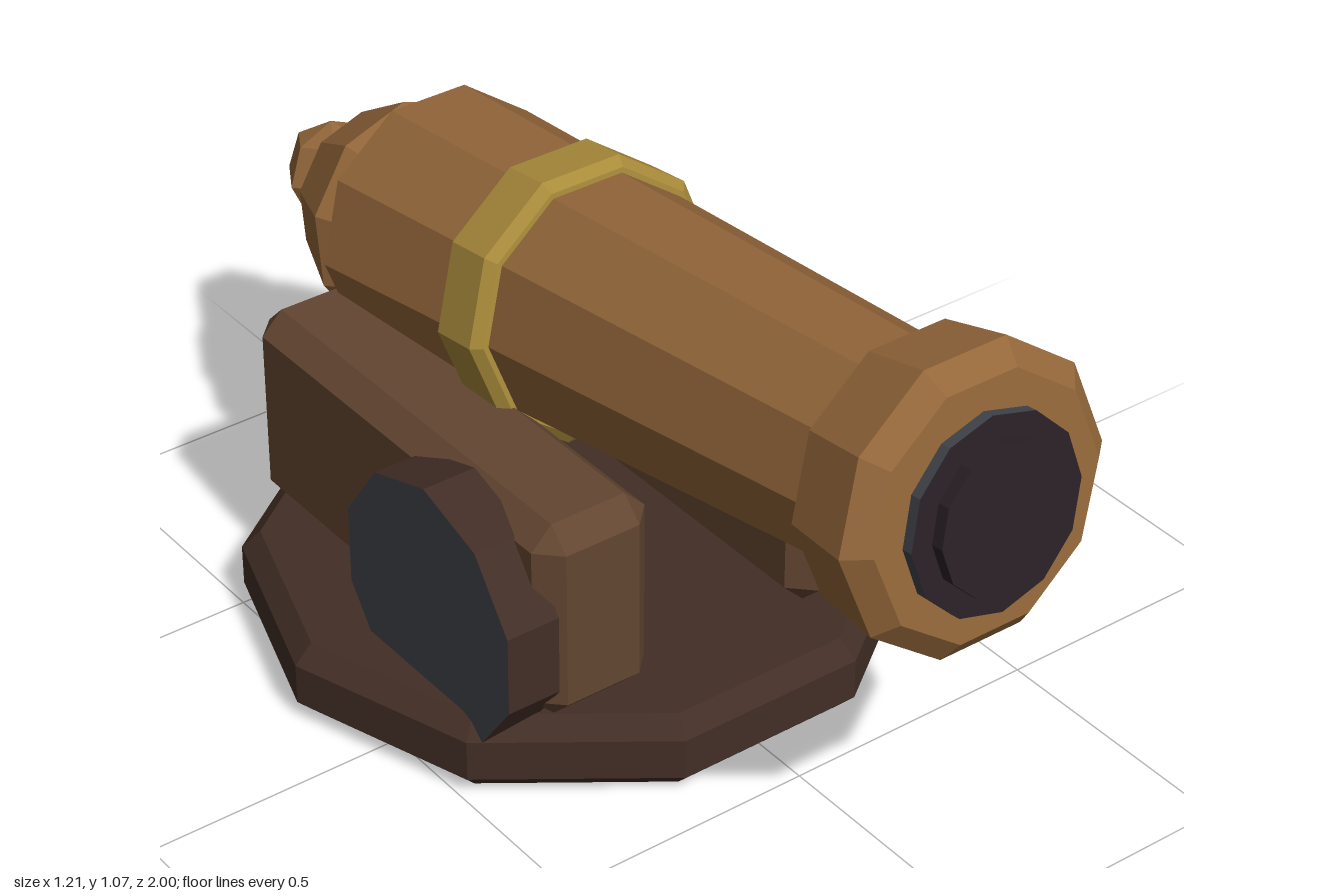
import * as THREE from 'three';
import { ConvexGeometry } from 'three/addons/geometries/ConvexGeometry.js';

const mat = (color) => new THREE.MeshStandardMaterial({ color, flatShading: true });
const bronze = mat(0x94673a), gold = mat(0xa88a3a), wood = mat(0x634631);
const darkWood = mat(0x422e26), slate = mat(0x41444b), black = mat(0x2a2026);

function add(parent, name, geometry, material) {
  const mesh = new THREE.Mesh(geometry, material);
  mesh.name = name;
  parent.add(mesh);
  return mesh;
}

// Faceted solid from [radius, height] pairs, listed bottom to top
function turned(profile, start = Math.PI / 2, sides = 10) {
  const points = profile.map(([r, h]) => new THREE.Vector2(r, h));
  return new THREE.LatheGeometry(points, sides, start);
}

// Box with every edge cut at 45 degrees
function chamferBox(w, h, d, c) {
  const points = [];
  for (const sx of [-1, 1]) for (const sy of [-1, 1]) for (const sz of [-1, 1]) {
    for (let full = 0; full < 3; full++) {
      const [x, y, z] = [w, h, d].map((s, i) => s / 2 - (i === full ? 0 : c));
      points.push(new THREE.Vector3(sx * x, sy * y, sz * z));
    }
  }
  return new ConvexGeometry(points);
}

export function createModel() {
  const model = new THREE.Group();
  model.name = 'cannon';

  // Ten-sided base plate
  const base = turned([[0, 0], [0.57, 0], [0.605, 0.035], [0.605, 0.115], [0.57, 0.15], [0, 0.15]]);
  add(model, 'basePlate', base, darkWood).position.z = -0.155;

  // Cheek blocks with a disc on each outer side
  for (const side of [1, -1]) {
    const label = side > 0 ? 'left' : 'right';
    add(model, label + 'Cheek', chamferBox(0.235, 0.395, 0.905, 0.042), wood)
      .position.set(side * 0.272, 0.348, -0.152);
    const disc = new THREE.CylinderGeometry(0.25, 0.25, 0.105, 10);
    disc.rotateY(Math.PI / 2).rotateZ(-side * Math.PI / 2);
    add(model, label + 'Disc', disc, [darkWood, slate, darkWood])
      .position.set(side * 0.415, 0.305, 0.06);
  }

  // Raised gun: all its parts are built along local +z
  const gun = new THREE.Group();
  gun.name = 'gun';
  gun.position.y = 0.686;
  gun.rotation.x = -0.14;
  model.add(gun);
  const along = (geometry) => geometry.rotateX(Math.PI / 2);

  add(gun, 'barrel', along(turned([[0, -0.58], [0.235, -0.58], [0.255, -0.563], [0.2, 0.76]])), bronze);
  add(gun, 'muzzleRing', along(turned([
    [0.19, 0.742], [0.2, 0.742], [0.25, 0.77], [0.27, 0.91], [0.23, 0.947], [0, 0.947],
  ])), bronze);
  add(gun, 'band', along(turned([
    [0.23, -0.207], [0.245, -0.207], [0.263, -0.19], [0.263, -0.095], [0.245, -0.078], [0.23, -0.078],
  ])), gold);

  // Stepped plug in the mouth
  const collar = along(new THREE.CylinderGeometry(0.174, 0.174, 0.06, 12));
  add(gun, 'boreCollar', collar, [slate, black, black]).position.set(0, -0.005, 0.938);
  const plug = along(new THREE.CylinderGeometry(0.133, 0.133, 0.05, 12));
  add(gun, 'borePlug', plug, black).position.set(0, -0.005, 0.967);

  // Rounded breech and its end knob
  const arc = [];
  for (let i = 0; i <= 4; i++) {
    const a = (i * Math.PI) / 4;
    arc.push([0.225 * Math.sin(a), -0.217 * Math.cos(a)]);
  }
  add(gun, 'breechBall', along(turned(arc, 0)), bronze).position.set(0, -0.016, -0.648);
  add(gun, 'breechKnob', new THREE.SphereGeometry(0.102, 6, 4), bronze).position.set(0, -0.013, -0.918);

  return model;
}
